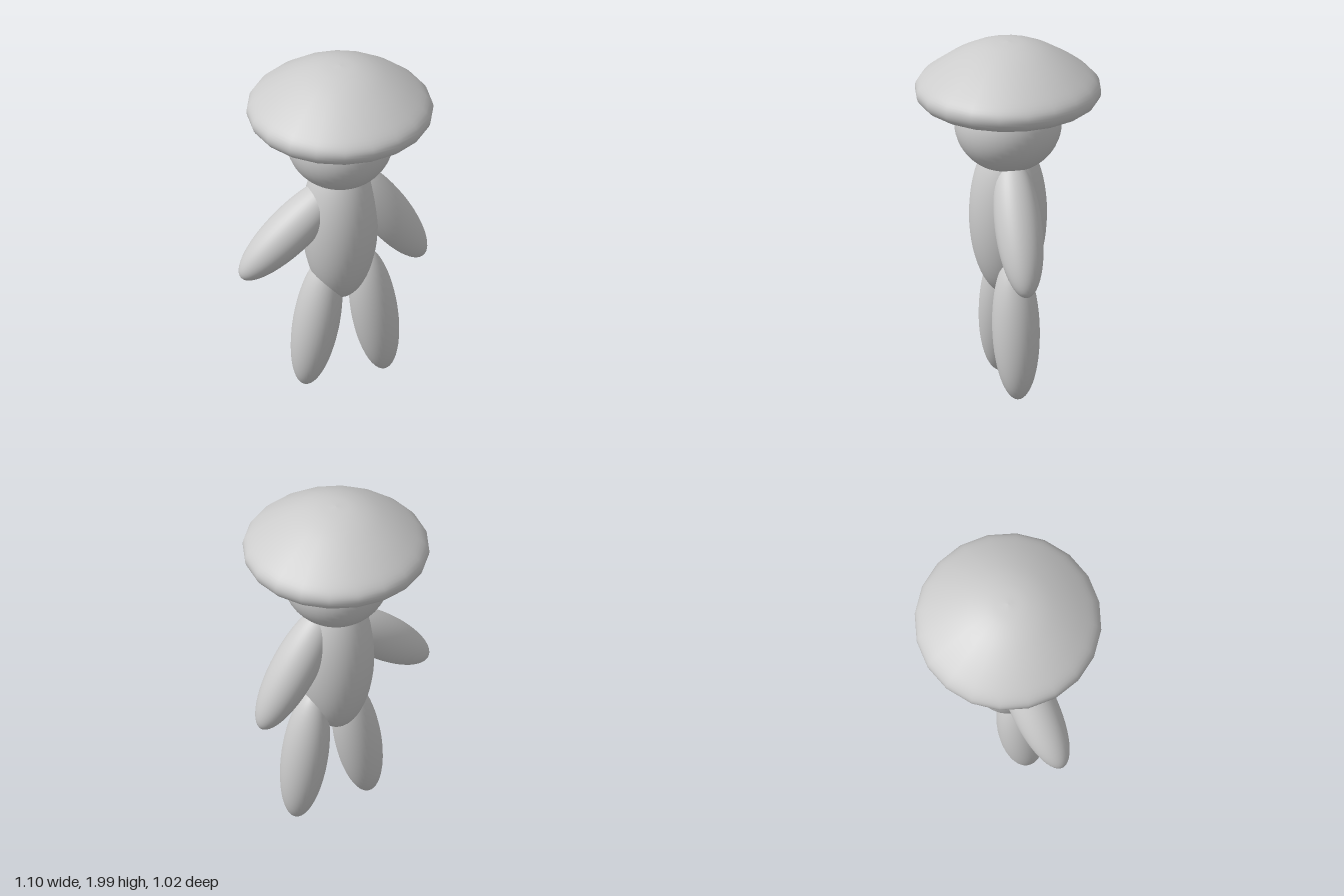
import * as THREE from 'three';

const material = new THREE.MeshStandardMaterial({ color: 0xcccccc, side: THREE.DoubleSide });
const AXIS_X = 0.038;

// Smooth ellipsoid: centre, half-sizes and lean in the front plane (degrees)
function ellipsoid(name, [x, y, z], [rx, ry, rz], lean = 0) {
  const geometry = new THREE.SphereGeometry(1, 40, 28).scale(rx, ry, rz);
  const mesh = new THREE.Mesh(geometry, material);
  mesh.name = name;
  mesh.position.set(x, y, z);
  mesh.rotation.z = THREE.MathUtils.degToRad(lean);
  return mesh;
}

// Mushroom-shaped hat: smooth profile turned in 20 sides
function createHat() {
  const outline = new THREE.SplineCurve([
    [0, 1.61], [0.16, 1.61], [0.29, 1.612], [0.41, 1.63], [0.485, 1.665],
    [0.51, 1.72], [0.485, 1.775], [0.4, 1.845], [0.3, 1.91], [0.2, 1.96],
    [0.1, 1.99], [0, 2],
  ].map(([r, y]) => new THREE.Vector2(r, y)));
  const points = outline.getPoints(44);
  points.forEach((p) => { p.x = Math.max(p.x, 0); });
  const hat = new THREE.Mesh(new THREE.LatheGeometry(points, 20), material);
  hat.name = 'hat';
  hat.position.x = AXIS_X;
  return hat;
}

export function createModel() {
  const model = new THREE.Group();
  model.name = 'figure';
  const limb = [0.127, 0.4, 0.13];

  model.add(
    createHat(),
    ellipsoid('head', [AXIS_X, 1.525, 0], [0.293, 0.27, 0.293]),
    ellipsoid('body', [AXIS_X, 1.0, 0], [0.207, 0.47, 0.213]),
    // Arms and legs share one shape at different leans
    ellipsoid('leftArm', [0.301, 1.018, 0], limb, 33),
    ellipsoid('rightArm', [-0.233, 1.024, 0], limb, -50),
    ellipsoid('leftLeg', [0.237, 0.402, 0], limb, 8.5),
    ellipsoid('rightLeg', [-0.098, 0.402, 0], limb, -10),
  );
  return model;
}
